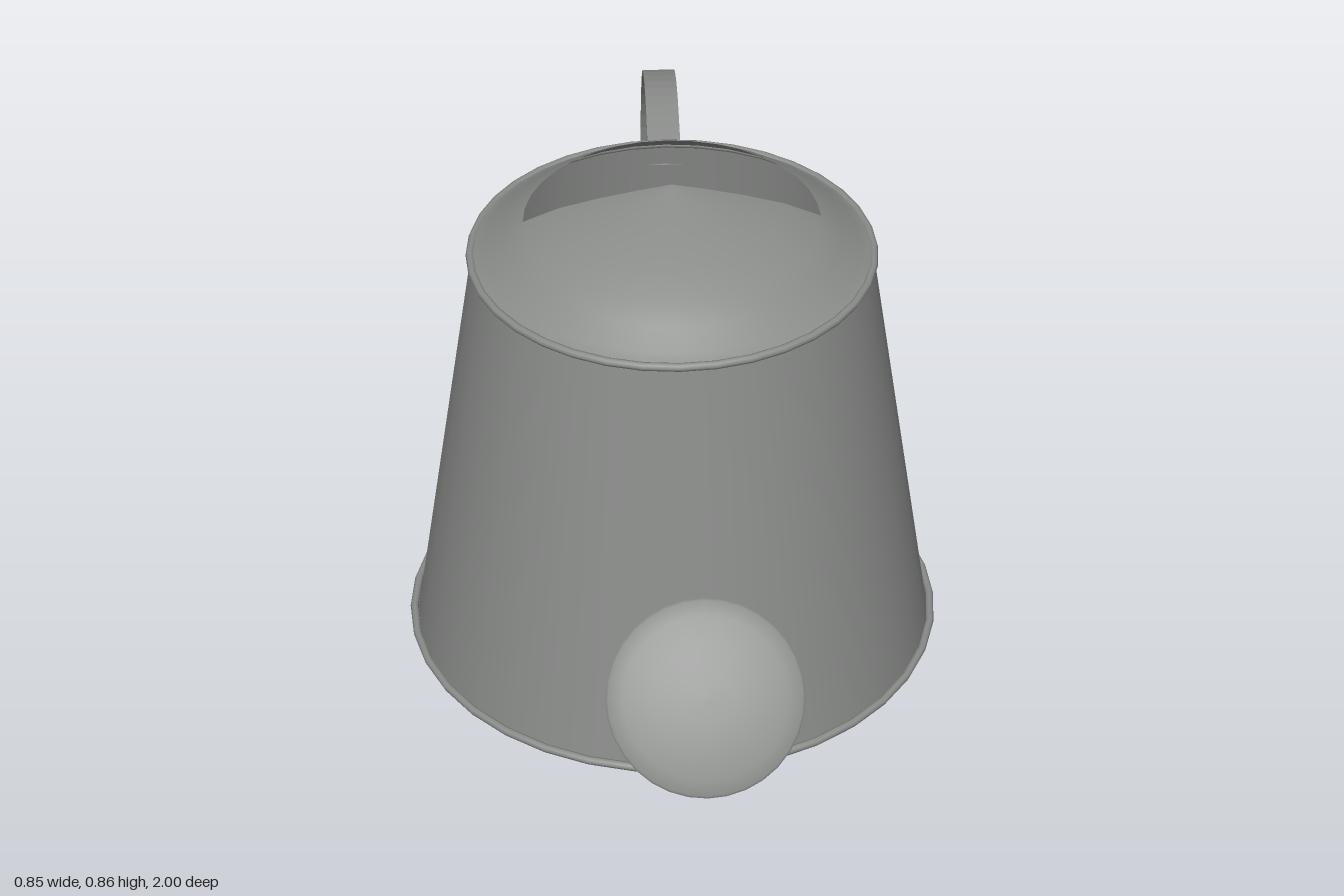
import * as THREE from 'three';

const metal = new THREE.MeshStandardMaterial({ color: 0x8b8d8b, side: THREE.DoubleSide });
metal.name = 'galvanised grey';

const CENTRE_Z = -0.23; // axis of the can
const wallRadius = (y) => 0.41 - 0.155 * y;

function add(parent, name, geometry) {
  const mesh = new THREE.Mesh(geometry, metal);
  mesh.name = name;
  parent.add(mesh);
  return mesh;
}

function lathe(points, segments, start = 0, length = Math.PI * 2) {
  return new THREE.LatheGeometry(points.map(([r, y]) => new THREE.Vector2(r, y)), segments, start, length);
}

function createCan() {
  const can = new THREE.Group();
  can.name = 'can';
  can.position.z = CENTRE_Z;
  add(can, 'wall', lathe([[wallRadius(0.005), 0.005], [wallRadius(0.68), 0.68]], 36));
  const floor = add(can, 'floor', new THREE.CircleGeometry(0.415, 36));
  floor.rotation.x = Math.PI / 2;
  floor.position.y = 0.003;

  // Rolled rims
  for (const [name, r, y] of [['bottomRim', 0.416, 0.0065], ['topRim', 0.306, 0.681]]) {
    const rim = add(can, name, new THREE.TorusGeometry(r, 0.0065, 8, 36));
    rim.rotation.x = Math.PI / 2;
    rim.position.y = y;
  }

  // Domed hood over the front half, sloping collar round the open back half
  add(can, 'hood', lathe([
    [0.305, 0.683], [0.285, 0.692], [0.255, 0.718], [0.222, 0.74],
    [0.17, 0.762], [0.11, 0.778], [0.05, 0.791], [0, 0.8],
  ], 18, -Math.PI / 2, Math.PI));
  add(can, 'collar', lathe([
    [0.305, 0.683], [0.285, 0.692], [0.255, 0.718], [0.225, 0.737],
  ], 18, Math.PI / 2, Math.PI));
  return can;
}

function createSpout() {
  // Local y runs along the spout, with its origin where the rose joins
  const spout = new THREE.Group();
  spout.name = 'spout';
  spout.position.set(0, 0.692, 0.83);
  spout.rotation.x = Math.atan2(0.78, 0.623);
  add(spout, 'spoutTube', lathe([[0.097, -0.95], [0.044, 0]], 28));
  add(spout, 'roseCone', lathe([[0.044, 0], [0.056, 0.016], [0.092, 0.065], [0.127, 0.116]], 32));
  add(spout, 'roseFace', lathe([
    [0.127, 0.116], [0.124, 0.121], [0.105, 0.128], [0.07, 0.135], [0.035, 0.139], [0, 0.14],
  ], 32));
  return spout;
}

function createHandle() {
  const handle = new THREE.Group();
  handle.name = 'handle';
  const width = 0.052;

  // Flat strap: path in z and y, thickened and extruded sideways
  const path = new THREE.CatmullRomCurve3([
    [-0.542, 0.638], [-0.61, 0.656], [-0.72, 0.666], [-0.85, 0.624], [-0.955, 0.505],
    [-0.993, 0.37], [-0.96, 0.236], [-0.863, 0.146], [-0.745, 0.115], [-0.628, 0.113],
  ].map(([z, y]) => new THREE.Vector3(z, y, 0)));
  const outer = [], inner = [];
  for (let i = 0; i <= 40; i++) {
    const p = path.getPoint(i / 40), t = path.getTangent(i / 40);
    outer.push(new THREE.Vector2(p.x - t.y * 0.003, p.y + t.x * 0.003));
    inner.unshift(new THREE.Vector2(p.x + t.y * 0.003, p.y - t.x * 0.003));
  }
  const strap = new THREE.ExtrudeGeometry(new THREE.Shape([...outer, ...inner]), {
    depth: width, bevelEnabled: false,
  });
  strap.rotateY(-Math.PI / 2).translate(width / 2, 0, 0);
  add(handle, 'strap', strap);

  // Riveted tabs that fix the strap to the wall
  for (const [name, y, height, thick] of [['topTab', 0.618, 0.046, 0.012], ['bottomTab', 0.064, 0.096, 0.02]]) {
    const tab = new THREE.Group();
    tab.name = name;
    tab.position.set(0, y, CENTRE_Z - wallRadius(y));
    tab.rotation.x = Math.atan(0.155);
    add(tab, 'plate', new THREE.BoxGeometry(width, height, thick)).position.z = -thick / 2 + 0.003;
    const rivet = add(tab, 'rivet', new THREE.SphereGeometry(0.01, 12, 8));
    rivet.scale.z = 0.5;
    rivet.position.z = -thick + 0.003;
    handle.add(tab);
  }
  return handle;
}

export function createModel() {
  const model = new THREE.Group();
  model.name = 'wateringCan';
  model.add(createCan(), createSpout(), createHandle());
  return model;
}
